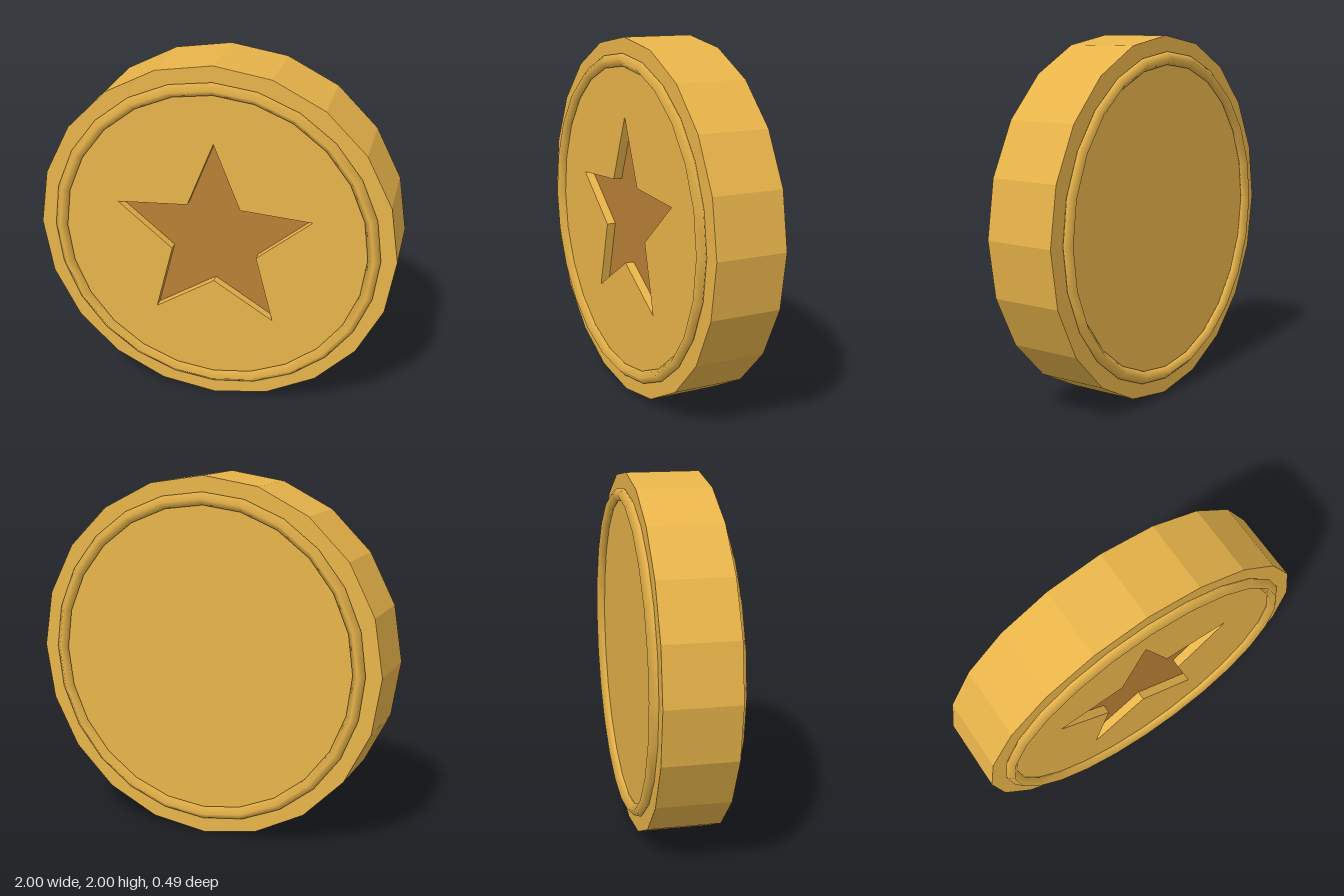
import * as THREE from 'three';

export function createModel() {
  const model = new THREE.Group();
  const gold = new THREE.MeshStandardMaterial({ color: 0xe8b44a });
  const goldFlat = new THREE.MeshStandardMaterial({ color: 0xe8b44a, flatShading: true });
  const bronze = new THREE.MeshStandardMaterial({ color: 0xb88035 });

  const RADIUS = 1, SIDES = 20, HALF = 0.2, DEPTH = 0.05;

  const add = (name, geometry, material, z = 0) => {
    const mesh = new THREE.Mesh(geometry, material);
    mesh.name = name;
    mesh.position.set(0, RADIUS, z);
    model.add(mesh);
    return mesh;
  };

  // Corner points of the disc and of the five-pointed star, counter-clockwise
  const polar = (r, a) => new THREE.Vector2(r * Math.cos(a), r * Math.sin(a));
  const disc = Array.from({ length: SIDES }, (_, i) => polar(RADIUS, (i / SIDES) * Math.PI * 2));
  const star = Array.from({ length: 10 }, (_, i) =>
    polar(i % 2 ? 0.25 : 0.57, Math.PI / 2 + (i * Math.PI) / 5));

  // Faceted edge of the coin
  const edge = new THREE.CylinderGeometry(RADIUS, RADIUS, HALF * 2, SIDES, 1, true);
  add('coinEdge', edge.rotateX(Math.PI / 2), goldFlat);

  // Front face with the star cut out, plain back face
  const face = new THREE.Shape(disc);
  face.holes.push(new THREE.Path(star));
  add('frontFace', new THREE.ShapeGeometry(face), gold, HALF);
  const back = new THREE.ShapeGeometry(new THREE.Shape(disc));
  add('backFace', back.rotateY(Math.PI), gold, -HALF);

  // Recessed star: walls facing inward, and a darker floor
  const walls = [];
  star.forEach((a, i) => {
    const b = star[(i + 1) % star.length];
    walls.push(a.x, a.y, 0, b.x, b.y, 0, b.x, b.y, -DEPTH);
    walls.push(a.x, a.y, 0, b.x, b.y, -DEPTH, a.x, a.y, -DEPTH);
  });
  const wallGeometry = new THREE.BufferGeometry();
  wallGeometry.setAttribute('position', new THREE.Float32BufferAttribute(walls, 3));
  wallGeometry.computeVertexNormals();
  add('starWalls', wallGeometry, gold, HALF);
  add('starFloor', new THREE.ShapeGeometry(new THREE.Shape(star)), bronze, HALF - DEPTH);

  // Raised ring on each face
  for (const [name, side] of [['frontRing', 1], ['backRing', -1]]) {
    add(name, new THREE.TorusGeometry(0.88, 0.035, 4, 24), gold, side * 0.21);
  }

  return model;
}
